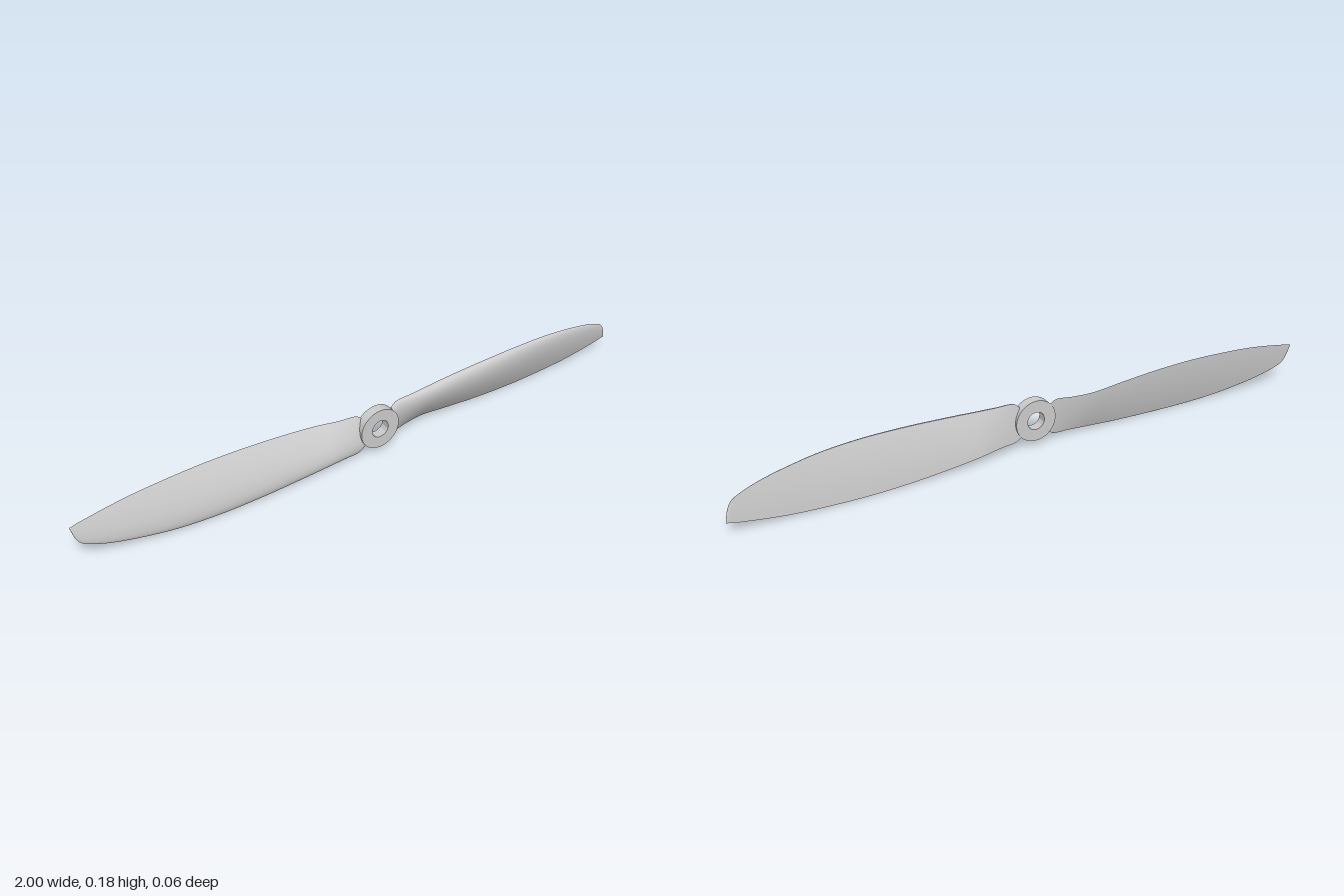
import * as THREE from 'three';
import { toCreasedNormals } from 'three/addons/utils/BufferGeometryUtils.js';

const AXIS_Y = 0.094;
const material = new THREE.MeshStandardMaterial({ color: 0xcccccc });

// Blade stations from root to tip:
// x, leading y, leading z, trailing y, trailing z, front bulge, back bulge
const STATIONS = [
  [0.05, 0.148, 0.012, 0.05, -0.002, 0.014, 0.002],
  [0.075, 0.165, 0.012, 0.035, -0.004, 0.017, 0.002],
  [0.13, 0.167, 0.011, 0.036, -0.014, 0.022, 0.003],
  [0.2, 0.171, 0.009, 0.032, -0.026, 0.028, 0.005],
  [0.3, 0.177, 0.008, 0.021, -0.028, 0.029, 0.005],
  [0.43, 0.182, 0.008, 0.01, -0.028, 0.028, 0.005],
  [0.57, 0.183, 0.006, 0.005, -0.028, 0.024, 0.005],
  [0.7, 0.176, 0.001, 0.008, -0.028, 0.019, 0.004],
  [0.81, 0.16, -0.006, 0.015, -0.028, 0.014, 0.003],
  [0.89, 0.143, -0.012, 0.025, -0.028, 0.01, 0.002],
  [0.945, 0.125, -0.017, 0.034, -0.028, 0.007, 0.001],
  [0.975, 0.109, -0.02, 0.039, -0.028, 0.005, 0.001],
  [0.99, 0.086, -0.022, 0.043, -0.028, 0.003, 0.001],
  [1.0, 0.05, -0.026, 0.045, -0.028, 0.001, 0],
];

// Smooth curve through three columns of the station table
function column(a, b, c) {
  const points = STATIONS.map((s) => new THREE.Vector3(s[a], s[b], s[c]));
  return new THREE.CatmullRomCurve3(points, false, 'catmullrom', 0.5);
}

// Airfoil sections lofted along the span, with a sharp trailing edge
function bladeGeometry(spanSteps = 78, chordSteps = 20) {
  const leading = column(0, 1, 2);
  const trailing = column(0, 3, 4);
  const bulge = column(0, 5, 6);
  const positions = [];
  const indices = [];
  const ring = 2 * chordSteps + 1;

  for (let i = 0; i <= spanSteps; i++) {
    const t = i / spanSteps;
    const lead = leading.getPoint(t);
    const trail = trailing.getPoint(t);
    const thick = bulge.getPoint(t);
    for (let j = 0; j < ring; j++) {
      // Up the back face to the leading edge, then down the front face
      const u = j / chordSteps - 1;
      const s = u * u;
      const p = lead.clone().lerp(trail, s);
      p.z += u < 0
        ? -thick.z * 4 * s * (1 - s)
        : thick.y * 2.6 * Math.sqrt(s) * (1 - s);
      positions.push(p.x, p.y - AXIS_Y, p.z);
    }
  }

  for (let i = 0; i < spanSteps; i++) {
    for (let j = 0; j < ring - 1; j++) {
      const a = i * ring + j;
      const d = a + ring;
      indices.push(a, a + 1, d + 1, a, d + 1, d);
    }
  }

  // Flat caps at root and tip, on their own vertices
  for (const [row, flip] of [[0, true], [spanSteps, false]]) {
    const start = positions.length / 3;
    positions.push(...positions.slice(row * ring * 3, (row + 1) * ring * 3));
    for (let j = 0; j < chordSteps; j++) {
      const a = start + j;
      const b = start + ring - 1 - j;
      const faces = [a, a + 1, b - 1, a, b - 1, b];
      indices.push(...(flip ? faces.reverse() : faces));
    }
  }

  const geometry = new THREE.BufferGeometry();
  geometry.setAttribute('position', new THREE.Float32BufferAttribute(positions, 3));
  geometry.setIndex(indices);
  geometry.computeVertexNormals();
  return geometry;
}

// Ring with a shaft hole
function hubGeometry() {
  const shape = new THREE.Shape().absarc(0, 0, 0.07, 0, Math.PI * 2);
  shape.holes.push(new THREE.Path().absarc(0, 0, 0.03, 0, Math.PI * 2, true));
  const geometry = new THREE.ExtrudeGeometry(shape, {
    depth: 0.033, bevelEnabled: false, curveSegments: 48,
  });
  geometry.translate(0, 0, -0.005);
  return toCreasedNormals(geometry, 0.6);
}

export function createModel() {
  const propeller = new THREE.Group();
  propeller.name = 'propeller';
  propeller.position.y = AXIS_Y;

  const hub = new THREE.Mesh(hubGeometry(), material);
  hub.name = 'hub';
  propeller.add(hub);

  // Two identical blades, half a turn apart
  const geometry = bladeGeometry();
  ['leftBlade', 'rightBlade'].forEach((name, i) => {
    const blade = new THREE.Mesh(geometry, material);
    blade.name = name;
    blade.rotation.z = i * Math.PI;
    propeller.add(blade);
  });

  const model = new THREE.Group();
  model.name = 'model';
  model.add(propeller);
  return model;
}
